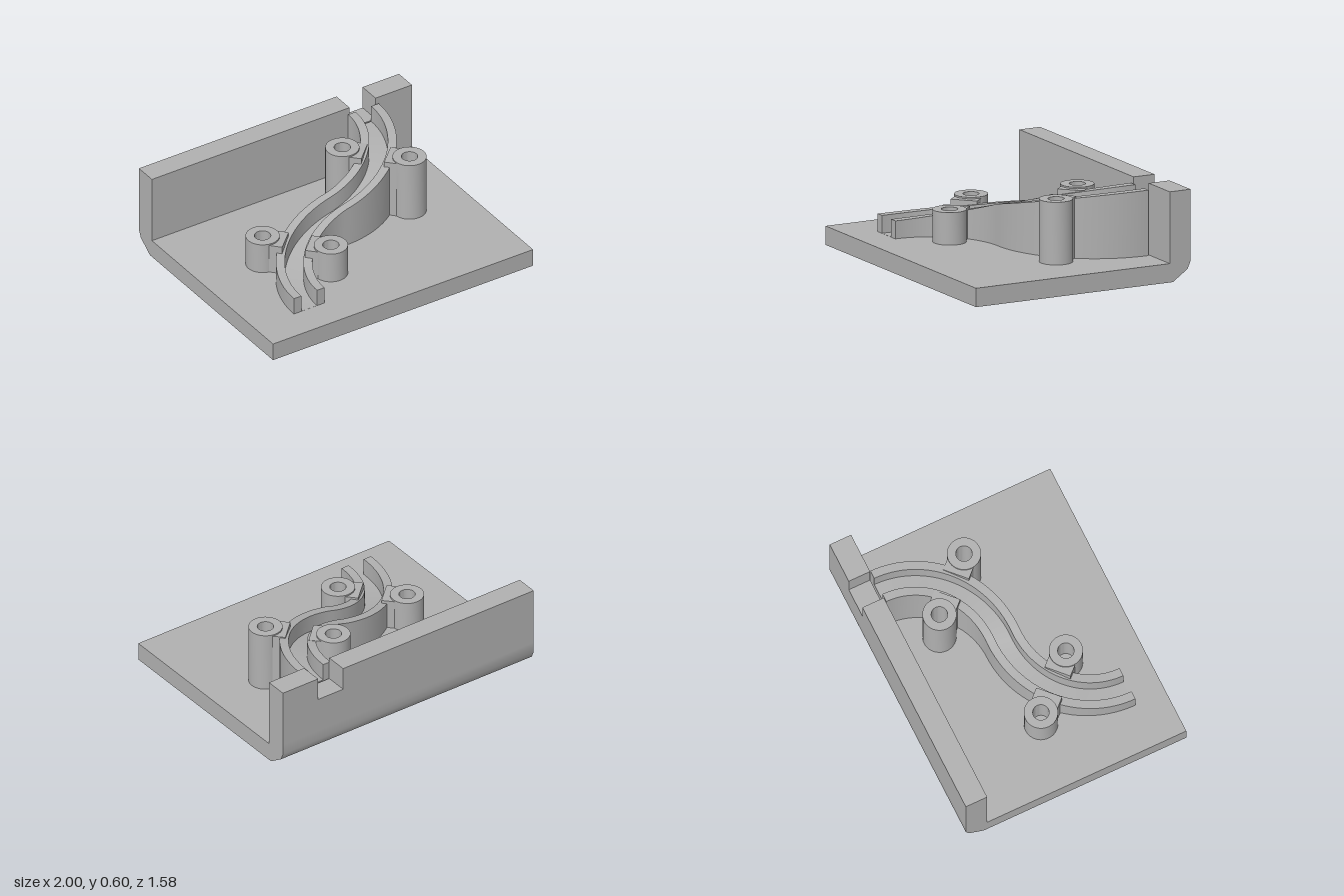
import * as THREE from 'three';
import { toCreasedNormals } from 'three/addons/utils/BufferGeometryUtils.js';

const BASE = 0.125, CX = 0.02, R = 0.6, Z1 = 0.573, Z2 = -0.627, NOTCH = 0.44;

// S-shaped path: t from 0 to 2, d = offset to the left of travel
function pathPoint(t, d) {
  if (t <= 1) {
    const a = t * Math.PI / 2;
    return [CX - (R + d) * Math.cos(a), Z1 - (R + d) * Math.sin(a)];
  }
  const b = (t - 1) * Math.PI / 2;
  return [CX + (R - d) * Math.sin(b), Z2 + (R - d) * Math.cos(b)];
}

// Box section swept along the path, its top rising with the path's x
function sweep(d0, d1, drop) {
  const rings = [], pos = [], n = 64;
  for (let i = 0; i <= n; i++) {
    const t = 2 * i / n;
    const top = 0.397 + 0.262 * (pathPoint(t, 0)[0] - 0.005) - drop;
    const at = (d, y) => { const [x, z] = pathPoint(t, d); return [x, y, z]; };
    rings.push([at(d0, 0.11), at(d1, 0.11), at(d1, top), at(d0, top)]);
  }
  const tri = (a, b, c) => pos.push(...a, ...b, ...c);
  for (let i = 0; i < n; i++) {
    for (let j = 0; j < 4; j++) {
      const k = (j + 1) % 4, p = rings[i], q = rings[i + 1];
      tri(p[j], p[k], q[j]);
      tri(p[k], q[k], q[j]);
    }
  }
  const s = rings[0], e = rings[n];
  tri(s[0], s[2], s[1]); tri(s[0], s[3], s[2]);
  tri(e[0], e[1], e[2]); tri(e[0], e[2], e[3]);
  const g = new THREE.BufferGeometry();
  g.setAttribute('position', new THREE.Float32BufferAttribute(pos, 3));
  return toCreasedNormals(g, 0.5);
}

export function createModel() {
  const group = new THREE.Group();
  const grey = new THREE.MeshStandardMaterial({ color: 0xb0b0b0 });
  grey.name = 'grey';
  const add = (name, geometry, parent = group) => {
    const m = new THREE.Mesh(geometry, grey);
    m.name = name;
    parent.add(m);
    return m;
  };

  // Base plate and lower back wall, one profile in (z, y) run across x
  const profile = new THREE.Shape([
    [0.79, 0], [0.79, BASE], [-0.637, BASE], [-0.637, NOTCH], [-0.79, NOTCH],
    [-0.79, 0.2], [-0.79, 0.125], [-0.768, 0.075], [-0.66, 0],
  ].map(([z, y]) => new THREE.Vector2(z, y)));
  const base = new THREE.ExtrudeGeometry(profile, { depth: 2, bevelEnabled: false });
  base.rotateY(-Math.PI / 2).translate(1, 0, 0);
  add('basePlate', toCreasedNormals(base, 0.58));

  // Upper wall on both sides of the notch
  for (const [name, x0, x1] of [['backWallRight', -1, 0.52], ['backWallLeft', 0.72, 1]]) {
    const wall = new THREE.BoxGeometry(x1 - x0, 0.6 - NOTCH, 0.153);
    add(name, wall.translate((x0 + x1) / 2, (0.6 + NOTCH) / 2, -0.7135));
  }

  // Curved channel: two rails and the sloping lane between them
  add('outerRail', sweep(0.06, 0.117, 0));
  add('innerRail', sweep(-0.117, -0.06, 0));
  add('lane', sweep(-0.062, 0.062, 0.118));

  // Hollow screw posts, each tied to a rail by a short web
  const posts = [
    [-0.545, -0.03, 0.34, Z1, 0.675], [-0.235, 0.3, 0.34, Z1, 0.523],
    [0.28, -0.355, 0.54, Z2, 0.523], [0.585, -0.03, 0.54, Z2, 0.675],
  ];
  for (const [x, z, h, cz, rEnd] of posts) {
    const mount = new THREE.Group();
    mount.name = 'postMount';
    mount.position.set(x, 0, z);
    group.add(mount);

    const outline = [[0.11, 0.11], [0.11, h], [0.053, h], [0.053, 0.14], [0, 0.14]]
      .map(([r, y]) => new THREE.Vector2(r, y));
    add('post', toCreasedNormals(new THREE.LatheGeometry(outline, 40), 0.5), mount);

    // Web runs along the radius of the arc
    const dx = CX - x, dz = cz - z, dist = Math.hypot(dx, dz);
    const sign = Math.sign(dist - rEnd), end = Math.abs(dist - rEnd), start = 0.062;
    const web = new THREE.BoxGeometry(0.178, h - 0.01 - 0.11, end - start);
    web.translate(0, (h - 0.01 + 0.11) / 2, (start + end) / 2);
    add('web', web, mount).rotation.y = Math.atan2(sign * dx, sign * dz);
  }
  return group;
}
